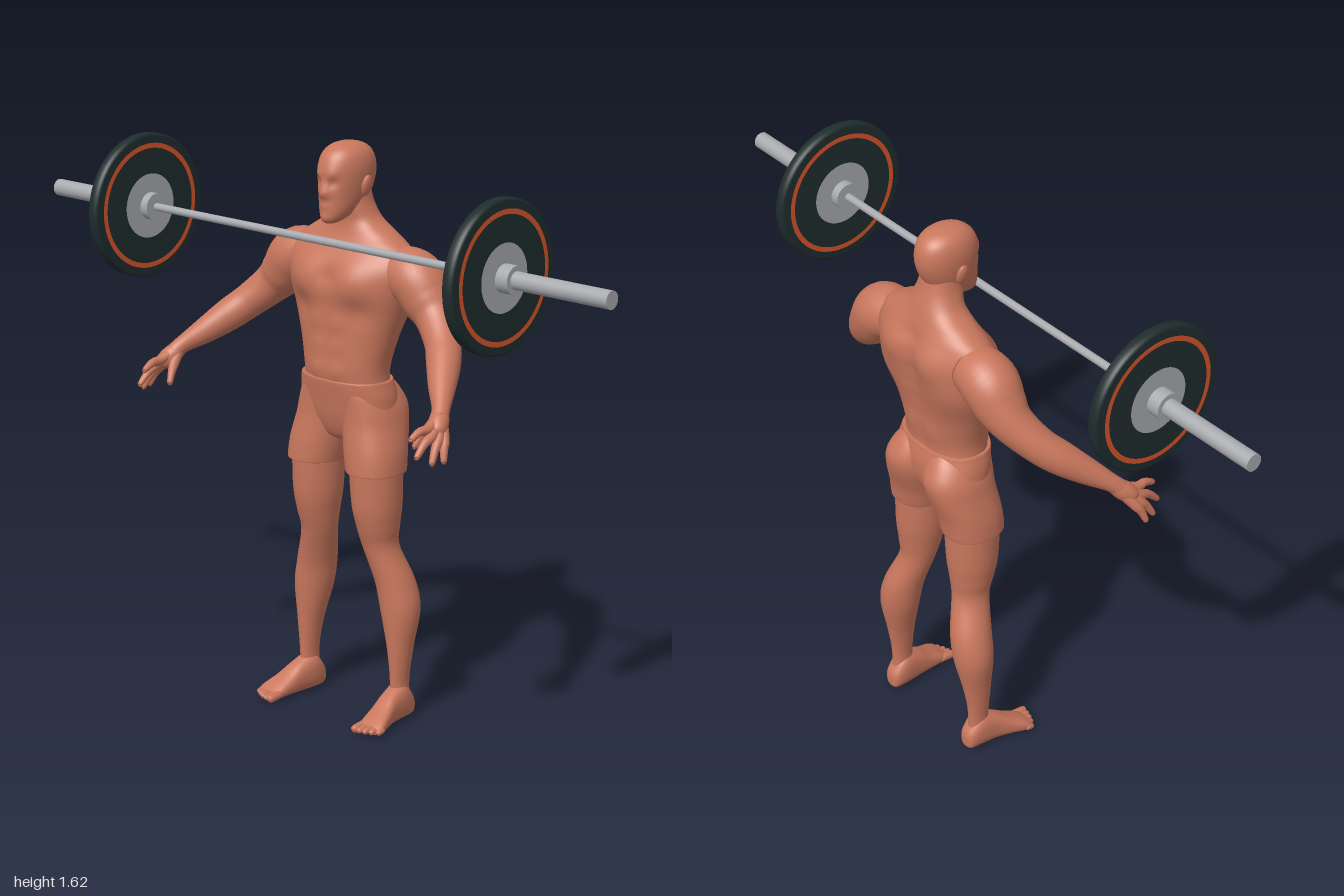
import * as THREE from 'three';

const mat = (name, color) => {
  const m = new THREE.MeshStandardMaterial({ color });
  m.name = name;
  return m;
};

// Catmull-Rom interpolation of rows of numbers, t from 0 to 1
function sample(rows, t) {
  const n = rows.length, f = t * (n - 1), i = Math.min(Math.floor(f), n - 2), k = f - i;
  const a = rows[Math.max(i - 1, 0)], b = rows[i], c = rows[i + 1], d = rows[Math.min(i + 2, n - 1)];
  return b.map((_, j) => b[j] + 0.5 * k * (c[j] - a[j]
    + k * (2 * a[j] - 5 * b[j] + 4 * c[j] - d[j] + k * (3 * (b[j] - c[j]) + d[j] - a[j]))));
}

// Closed skin from rings; ring(t) returns { center, at(angle) }
function skinRings(ring, rows, cols) {
  const pos = [], idx = [];
  for (let i = 0; i <= rows; i++) {
    const r = ring(i / rows);
    for (let j = 0; j < cols; j++) pos.push(...r.at((j / cols) * Math.PI * 2));
  }
  for (let i = 0; i < rows; i++) for (let j = 0; j < cols; j++) {
    const a = i * cols + j, b = i * cols + (j + 1) % cols;
    idx.push(a, a + cols, b, b, a + cols, b + cols);
  }
  const bottom = (rows + 1) * cols, last = rows * cols;
  pos.push(...ring(0).center, ...ring(1).center);
  for (let j = 0; j < cols; j++) {
    const k = (j + 1) % cols;
    idx.push(bottom, j, k, bottom + 1, last + k, last + j);
  }
  const g = new THREE.BufferGeometry();
  g.setAttribute('position', new THREE.Float32BufferAttribute(pos, 3));
  g.setIndex(idx);
  g.computeVertexNormals();
  return g;
}

// Upright loft; each row is [y, centre x, half width, back z, front z]
function loft(rows, s = 1, power = 2.2, steps = 6, cols = 40) {
  const p = (v) => Math.sign(v) * Math.abs(v) ** (2 / power);
  return skinRings((t) => {
    const [y, xc, hx, zb, zf] = sample(rows, t), zc = (zb + zf) / 2, hz = (zf - zb) / 2;
    return { center: [xc * s, y, zc], at: (a) => [xc * s + hx * p(Math.cos(a)), y, zc + hz * p(Math.sin(a))] };
  }, (rows.length - 1) * steps, cols);
}

// Round limb; each row is [x, y, z, radius]
function limb(rows, s = 1, cols = 24, steps = 6) {
  const at = (t) => { const [x, y, z] = sample(rows, t); return new THREE.Vector3(x * s, y, z); };
  return skinRings((t) => {
    const c = at(t), r = sample(rows, t)[3];
    const T = at(Math.min(t + 0.01, 1)).sub(at(Math.max(t - 0.01, 0))).normalize();
    const u = new THREE.Vector3(s, 1, 0).cross(T).normalize(), v = u.clone().cross(T);
    return {
      center: c.toArray(),
      at: (a) => c.clone().addScaledVector(u, r * Math.cos(a)).addScaledVector(v, r * Math.sin(a)).toArray(),
    };
  }, (rows.length - 1) * steps, cols);
}

// Push vertices along their normals; bump is [x, y, z, reach, height], mirrored in x
function sculpt(g, bumps) {
  const P = g.attributes.position, N = g.attributes.normal;
  for (let i = 0; i < P.count; i++) {
    const x = P.getX(i), y = P.getY(i), z = P.getZ(i);
    let h = 0;
    for (const [bx, by, bz, r, k] of bumps)
      h += k * Math.exp(-((Math.abs(x) - bx) ** 2 + (y - by) ** 2 + (z - bz) ** 2) / (r * r));
    P.setXYZ(i, x + N.getX(i) * h, y + N.getY(i) * h, z + N.getZ(i) * h);
  }
  g.computeVertexNormals();
  return g;
}

export function createModel() {
  const skin = mat('skin', 0xc9775d), steel = mat('steel', 0xa8aaae);
  const rubber = mat('dark rubber', 0x1f2d2d), orange = mat('orange ring', 0xd9532b);
  const root = new THREE.Group();
  root.name = 'weightlifter';
  const add = (name, geometry, material = skin, parent = root) => {
    const m = new THREE.Mesh(geometry, material);
    m.name = name;
    parent.add(m);
    return m;
  };

  // Torso and neck, with chest, belly and back muscles
  const bumps = [
    [0.085, 1.255, -0.01, 0.06, 0.016], [0, 1.26, -0.01, 0.025, -0.008],
    [0.1, 1.17, -0.02, 0.04, -0.008], [0.13, 1.2, -0.19, 0.07, 0.012],
    [0.07, 1.28, -0.22, 0.06, 0.016], [0.04, 1.03, -0.19, 0.04, 0.006],
  ];
  for (const y of [1.0, 1.07, 1.135]) bumps.push([0.035, y, -0.01, 0.028, 0.006]);
  for (let y = 0.98; y < 1.36; y += 0.05) bumps.push([0, y, -0.22, 0.03, -0.009]);
  add('torso', sculpt(loft([
    [0.93, 0, 0.138, -0.188, -0.025], [1.0, 0, 0.133, -0.186, -0.014], [1.08, 0, 0.152, -0.197, -0.017],
    [1.16, 0, 0.177, -0.212, -0.016], [1.23, 0, 0.198, -0.22, -0.012], [1.29, 0, 0.21, -0.222, -0.024],
    [1.34, 0, 0.19, -0.21, -0.05], [1.375, 0, 0.14, -0.2, -0.065], [1.41, 0, 0.085, -0.19, -0.07],
    [1.45, 0, 0.062, -0.176, -0.062], [1.49, 0, 0.054, -0.165, -0.06],
  ], 1, 2.2, 7, 72), bumps));

  // Head with jaw, brow, eye hollows and nose
  add('head', sculpt(loft([
    [1.408, 0, 0.014, -0.055, -0.018], [1.418, 0, 0.028, -0.08, -0.008], [1.44, 0, 0.044, -0.125, -0.006],
    [1.475, 0, 0.056, -0.165, -0.007], [1.52, 0, 0.064, -0.185, -0.006], [1.56, 0, 0.065, -0.187, -0.008],
    [1.592, 0, 0.057, -0.175, -0.022], [1.612, 0, 0.039, -0.15, -0.047], [1.621, 0, 0.014, -0.115, -0.08],
  ], 1, 2.1, 8, 56), [
    [0, 1.49, -0.005, 0.015, 0.013], [0, 1.51, -0.005, 0.012, 0.006], [0.026, 1.52, -0.012, 0.014, -0.007],
    [0.02, 1.54, -0.008, 0.018, 0.004], [0, 1.455, -0.006, 0.014, 0.004], [0, 1.425, -0.008, 0.015, 0.004],
  ]));

  // Shorts, upper part
  add('shortsSeat', loft([
    [0.79, 0, 0.03, -0.14, -0.08], [0.81, 0, 0.08, -0.17, -0.05], [0.86, 0, 0.145, -0.195, -0.03],
    [0.92, 0, 0.152, -0.202, -0.018], [0.967, 0, 0.142, -0.194, -0.01], [0.975, 0, 0.139, -0.192, -0.011],
  ], 1, 2.3, 7, 56));

  for (const [side, s] of [['left', 1], ['right', -1]]) {
    add(side + 'ShortsLeg', loft([
      [0.72, 0.108, 0.077, -0.184, -0.016], [0.726, 0.108, 0.079, -0.187, -0.014],
      [0.78, 0.1, 0.083, -0.197, -0.017], [0.85, 0.085, 0.082, -0.22, -0.025],
      [0.9, 0.078, 0.077, -0.226, -0.026], [0.945, 0.07, 0.064, -0.205, -0.026],
      [0.975, 0.065, 0.04, -0.18, -0.04],
    ], s));

    add(side + 'Leg', loft([
      [0.05, 0.172, 0.025, -0.166, -0.1], [0.1, 0.172, 0.022, -0.165, -0.1], [0.15, 0.172, 0.026, -0.168, -0.098],
      [0.22, 0.17, 0.036, -0.18, -0.093], [0.32, 0.163, 0.056, -0.2, -0.086], [0.4, 0.147, 0.056, -0.197, -0.08],
      [0.5, 0.116, 0.05, -0.168, -0.06], [0.56, 0.112, 0.058, -0.17, -0.042], [0.63, 0.11, 0.068, -0.177, -0.028],
      [0.76, 0.106, 0.073, -0.18, -0.022],
    ], s, 2));

    // Foot lofted from heel to toes
    add(side + 'Foot', loft([
      [-0.18, 0.17, 0.012, -0.045, -0.014], [-0.17, 0.17, 0.026, -0.068, -0.002], [-0.135, 0.171, 0.033, -0.105, 0],
      [-0.085, 0.176, 0.033, -0.09, 0], [-0.04, 0.184, 0.037, -0.062, 0], [0, 0.192, 0.041, -0.04, 0],
      [0.022, 0.193, 0.036, -0.026, -0.004],
    ], s, 2.5).rotateX(Math.PI / 2));
    for (let i = 0; i < 5; i++) {
      const x = 0.162 + i * 0.0165, r = i ? 0.009 : 0.012, z = 0.05 - i * i * 0.0016;
      add(side + 'Toe', limb([[x, 0.018, 0, r], [x, 0.014, z - 0.012, r], [x, 0.012, z - 0.003, r * 0.8],
        [x, 0.011, z, r * 0.3]], s, 12, 3));
    }

    // Shoulder to wrist
    add(side + 'Arm', limb([
      [0.15, 1.285, -0.135, 0.068], [0.215, 1.27, -0.135, 0.078], [0.26, 1.22, -0.132, 0.07],
      [0.3, 1.178, -0.122, 0.057], [0.355, 1.125, -0.085, 0.049], [0.395, 1.085, -0.042, 0.046],
      [0.435, 1.043, 0.01, 0.037], [0.475, 1.005, 0.06, 0.025], [0.49, 0.983, 0.084, 0.024],
    ], s, 32));
    add(side + 'Palm', limb([[0.478, 1.0, 0.063, 0.02], [0.492, 0.977, 0.088, 0.027],
      [0.505, 0.957, 0.11, 0.024], [0.511, 0.947, 0.12, 0.012]], s, 20));
    const fingers = {
      Index: [[0.497, 0.967, 0.13], [0.492, 0.95, 0.2]],
      Middle: [[0.508, 0.953, 0.13], [0.512, 0.905, 0.2]],
      Ring: [[0.519, 0.942, 0.12], [0.535, 0.885, 0.165]],
      Little: [[0.525, 0.938, 0.105], [0.546, 0.885, 0.13]],
      Thumb: [[0.472, 0.96, 0.1], [0.452, 0.908, 0.14]],
    };
    for (const [name, [k, e]] of Object.entries(fingers)) {
      const mid = k.map((v, i) => (v + e[i]) / 2 + (i === 1 ? 0.007 : 0));
      const end = k.map((v, i) => v + (e[i] - v) * 0.94);
      add(side + name + 'Finger', limb([[0.482, 0.993, 0.07, 0.017], [...k, 0.0145], [...mid, 0.0115],
        [...end, 0.008], [...e, 0.003]], s, 12, 4));
    }

    const ear = add(side + 'Ear', new THREE.SphereGeometry(1, 16, 12));
    ear.scale.set(0.01, 0.03, 0.018);
    ear.position.set(s * 0.069, 1.508, -0.1);
    ear.rotation.z = -s * 0.2;
  }

  // Barbell along x
  const bar = new THREE.Group();
  bar.name = 'barbell';
  bar.position.set(0, 1.375, 0.04);
  root.add(bar);
  const rod = (name, r, x0, x1, material = steel, seg = 40) => {
    const m = add(name, new THREE.CylinderGeometry(r, r, x1 - x0, seg), material, bar);
    m.rotation.z = Math.PI / 2;
    m.position.x = (x0 + x1) / 2;
  };
  rod('shaft', 0.011, -0.62, 0.62);
  const rim = [[0, -0.018], [0.196, -0.018], [0.203, -0.013], [0.204, 0], [0.203, 0.013], [0.196, 0.018], [0, 0.018]];
  for (const s of [-1, 1]) {
    const span = (name, r, a, b, m) => rod(name, r, Math.min(s * a, s * b), Math.max(s * a, s * b), m);
    span('sleeve', 0.024, 0.69, 1);
    span('collar', 0.038, 0.597, 0.7);
    const plate = add('plate', new THREE.LatheGeometry(rim.map((p) => new THREE.Vector2(...p)), 72), rubber, bar);
    plate.rotation.z = Math.PI / 2;
    plate.position.x = s * 0.642;
    // Painted ring and steel hub disc on both faces
    for (const f of [-1, 1]) {
      const face = new THREE.Group();
      face.name = 'plateFace';
      face.position.x = s * 0.642 + f * 0.0195;
      face.rotation.y = f * Math.PI / 2;
      bar.add(face);
      add('ring', new THREE.RingGeometry(0.163, 0.177, 72), orange, face);
      add('hub', new THREE.CircleGeometry(0.091, 56), steel, face);
    }
  }
  return root;
}
